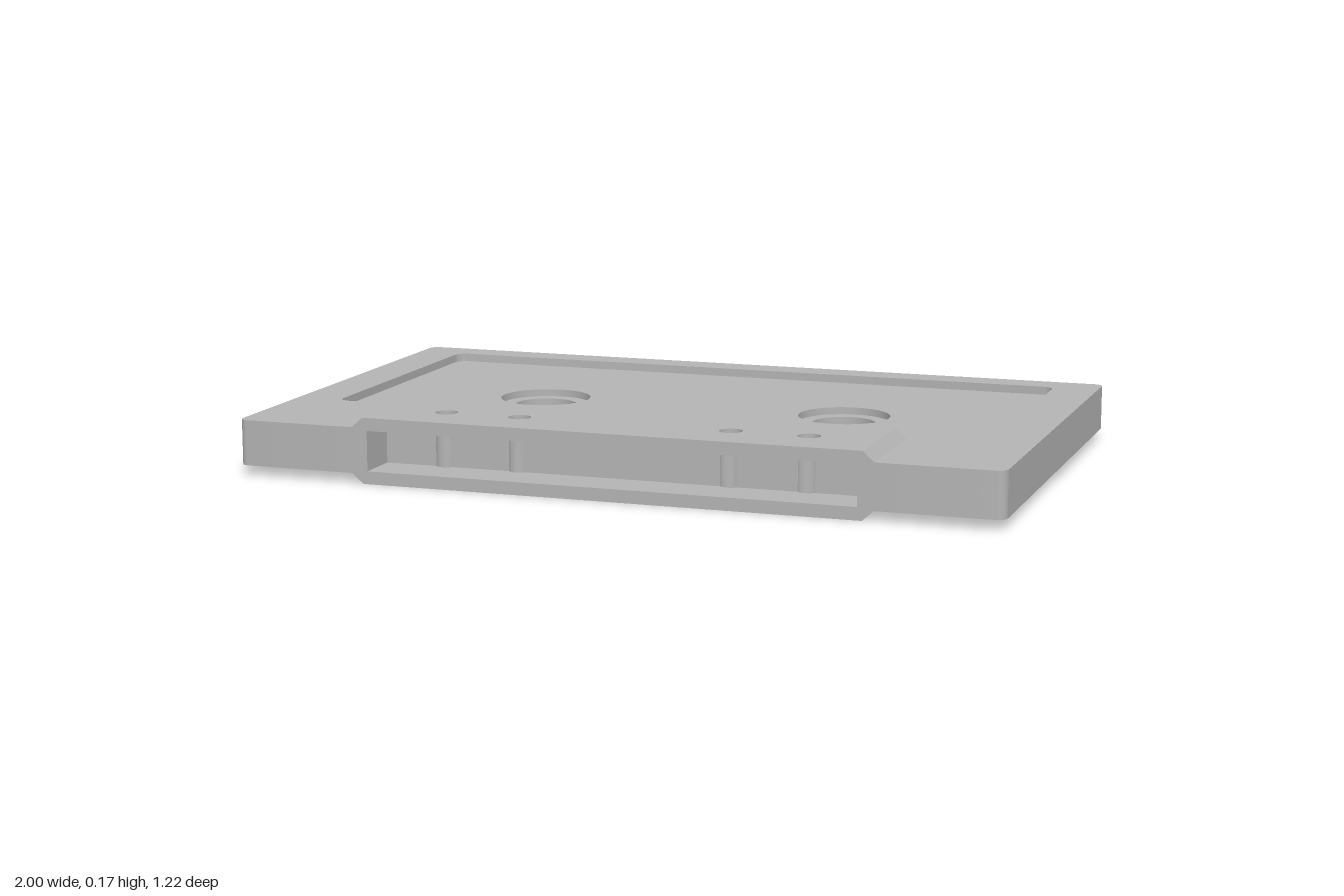
import * as THREE from 'three';
import { toCreasedNormals } from 'three/addons/utils/BufferGeometryUtils.js';

const MID = 0.085;                 // mirror plane between the two halves
const D = 0.612;                   // half depth
const HUB_X = 0.42, HUB_Z = -0.055;
const PIN_X = [0.48, 0.28, -0.28, -0.48], PIN_Z = 0.475, PIN_R = 0.029;
const SLOT_X = 0.64, SLOT_Z = 0.493;

function circle(x, z, r) {
  return new THREE.Path().absarc(x, z, r, 0, Math.PI * 2, true);
}

// Rounded rectangle path
function roundRect(path, x, z0, z1, r) {
  path.moveTo(-x + r, z0);
  path.absarc(x - r, z0 + r, r, -Math.PI / 2, 0, false);
  path.absarc(x - r, z1 - r, r, 0, Math.PI / 2, false);
  path.absarc(-x + r, z1 - r, r, Math.PI / 2, Math.PI, false);
  path.absarc(-x + r, z0 + r, r, Math.PI, Math.PI * 1.5, false);
  return path;
}

// Shell footprint: rounded corners, front slot cut out, pin bores biting into the slot's back wall
function footprint() {
  const s = new THREE.Shape(), r = 0.025;
  s.moveTo(-1 + r, -D);
  s.absarc(1 - r, -D + r, r, -Math.PI / 2, 0, false);
  s.absarc(1 - r, D - r, r, 0, Math.PI / 2, false);
  s.lineTo(SLOT_X, D);
  s.lineTo(SLOT_X, SLOT_Z);
  const a = Math.asin((SLOT_Z - PIN_Z) / PIN_R);
  for (const x of PIN_X) s.absarc(x, PIN_Z, PIN_R, a, Math.PI - a, true);
  s.lineTo(-SLOT_X, SLOT_Z);
  s.lineTo(-SLOT_X, D);
  s.absarc(-1 + r, D - r, r, Math.PI / 2, Math.PI, false);
  s.absarc(-1 + r, -D + r, r, Math.PI, Math.PI * 1.5, false);
  return s;
}

// Extrude a plan shape (x, z) between two heights
function slab(shape, y0, y1) {
  const g = new THREE.ExtrudeGeometry(shape, { depth: y1 - y0, bevelEnabled: false, curveSegments: 24 });
  g.rotateX(Math.PI / 2);
  g.translate(0, y1, 0);
  return g;
}

export function createModel() {
  const group = new THREE.Group();
  const plastic = new THREE.MeshStandardMaterial({ color: 0xb4b4b4 });
  plastic.name = 'grey plastic';

  const add = (name, geometry) => {
    const mesh = new THREE.Mesh(toCreasedNormals(geometry, 0.6), plastic);
    mesh.name = name;
    group.add(mesh);
  };
  const hubLayer = (r) => {
    const s = footprint();
    for (const x of [-HUB_X, HUB_X]) s.holes.push(circle(x, HUB_Z, r));
    return s;
  };
  const frame = footprint();
  frame.holes.push(roundRect(new THREE.Path(), 0.88, -0.528, 0.277, 0.03));

  // Solid middle with the two hub holes
  add('core', slab(hubLayer(0.083), MID - 0.018, MID + 0.018));

  for (const side of [1, -1]) {
    const label = side > 0 ? 'top' : 'bottom';
    const layer = (shape, a, b) => side > 0
      ? slab(shape, MID + a, MID + b) : slab(shape, MID - b, MID - a);

    // Recessed panel with hub counterbores, and the raised border around it
    add(label + 'Panel', layer(hubLayer(0.121), 0.018, 0.037));
    add(label + 'Border', layer(frame, 0.037, 0.059));

    // Thick head plate over the front slot, with pin holes and sloped ends
    const plate = new THREE.Shape();
    plate.moveTo(-0.69, 0.307);
    plate.lineTo(0.69, 0.307);
    plate.lineTo(0.69, D);
    plate.lineTo(-0.69, D);
    plate.closePath();
    for (const x of PIN_X) plate.holes.push(circle(x, PIN_Z, PIN_R));
    const g = layer(plate, 0.052, 0.085);
    const p = g.attributes.position;
    for (let i = 0; i < p.count; i++) {
      const x = p.getX(i);
      if (Math.abs(x) > 0.6 && (p.getY(i) - MID) * side > 0.07) p.setX(i, Math.sign(x) * 0.652);
    }
    add(label + 'HeadPlate', g);
  }
  return group;
}
